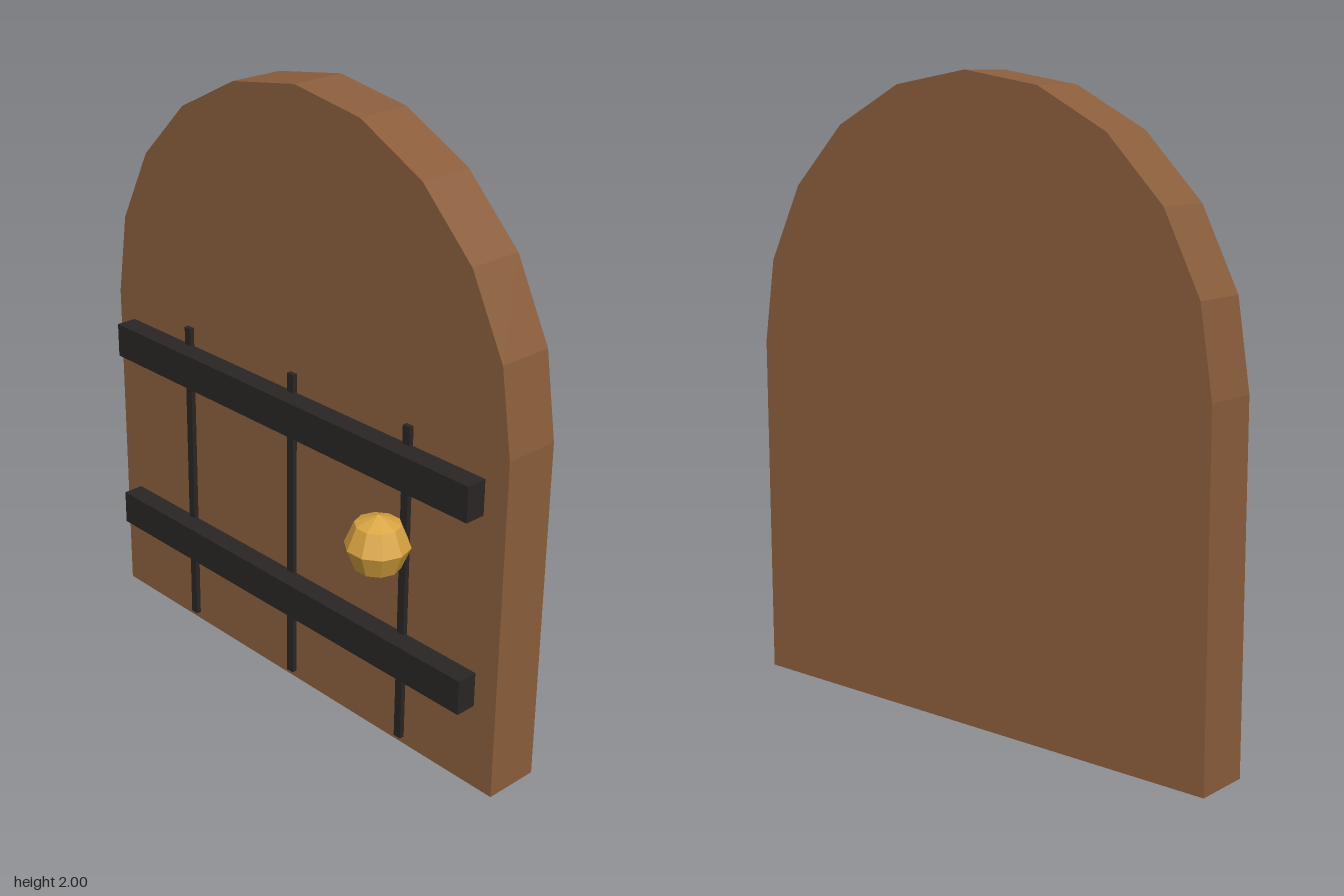
import * as THREE from 'three';

const material = (color) => new THREE.MeshStandardMaterial({ color, flatShading: true });

export function createModel() {
  const model = new THREE.Group();
  const wood = material(0x8b5e3c);
  const iron = material(0x2a2624);
  const brass = material(0xd9a441);

  const add = (name, geometry, mat, x, y, z) => {
    const mesh = new THREE.Mesh(geometry, mat);
    mesh.name = name;
    mesh.position.set(x, y, z);
    model.add(mesh);
    return mesh;
  };

  // Arched door slab: straight sides with a ten-sided half-round top
  const radius = 0.88, spring = 1.12, steps = 10;
  const outline = [new THREE.Vector2(-radius, 0), new THREE.Vector2(radius, 0)];
  for (let i = 0; i <= steps; i++) {
    const a = (i / steps) * Math.PI;
    outline.push(new THREE.Vector2(Math.cos(a) * radius, spring + Math.sin(a) * radius));
  }
  const slab = new THREE.ExtrudeGeometry(new THREE.Shape(outline), { depth: 0.184, bevelEnabled: false });
  add('doorSlab', slab, wood, 0, 0, -0.2);

  // Thin vertical strips marking the plank joints
  for (const x of [-0.5, 0, 0.5]) {
    add('plankStrip', new THREE.BoxGeometry(0.028, 1.075, 0.02), iron, x, 0.5625, -0.01);
  }

  // Horizontal iron straps
  for (const y of [0.345, 0.982]) {
    add('ironStrap', new THREE.BoxGeometry(1.6, 0.115, 0.07), iron, 0, y, 0.024);
  }

  // Faceted door knob
  add('doorKnob', new THREE.SphereGeometry(0.1, 10, 4), brass, 0.5, 0.75, 0.105);

  return model;
}
